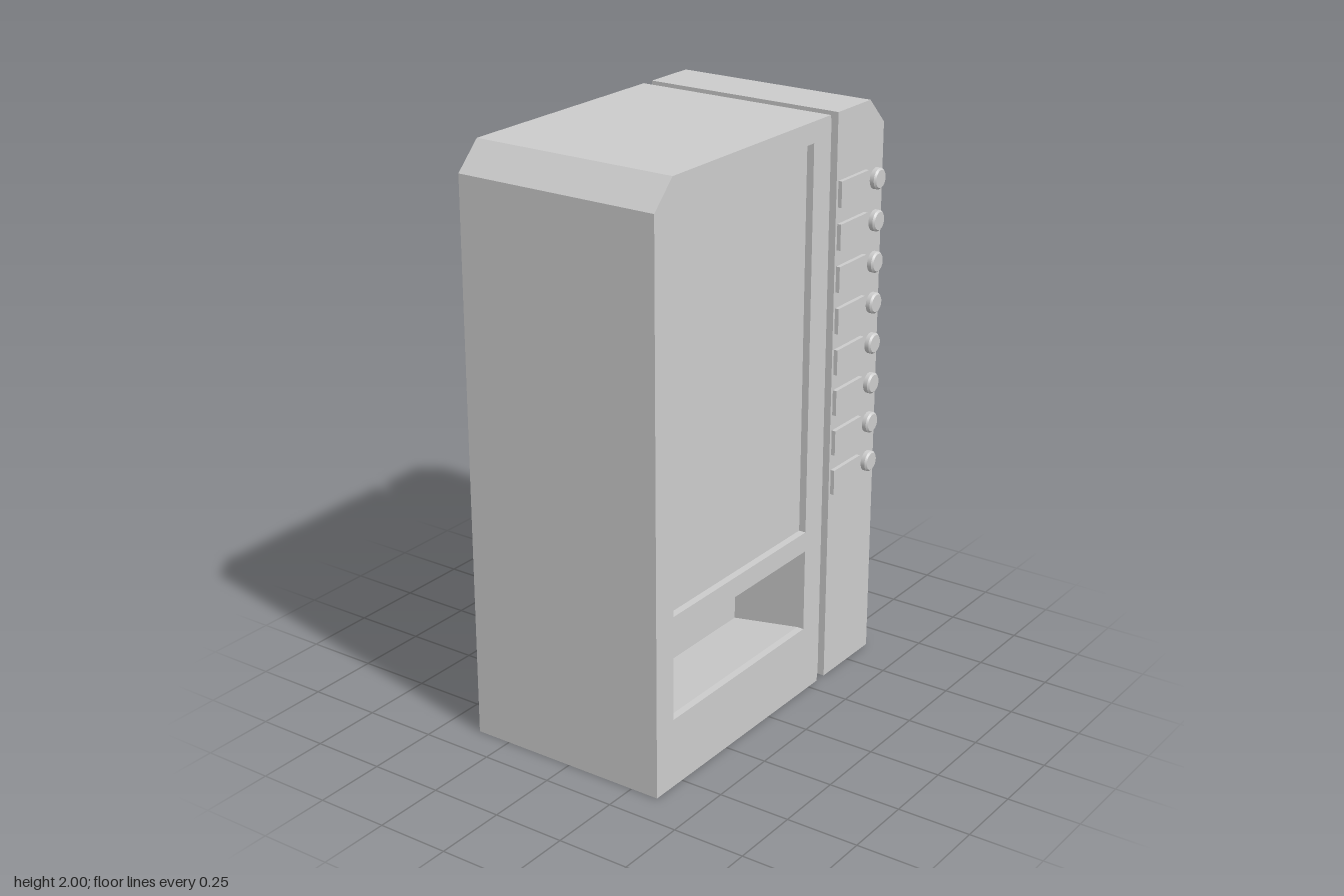
import * as THREE from 'three';

const material = new THREE.MeshStandardMaterial({ color: 0xcccccc, flatShading: true, side: THREE.DoubleSide });
const smooth = new THREE.MeshStandardMaterial({ color: 0xcccccc });

const X0 = -0.375, X1 = 0.35, INSET = 0.025;

// Flat-shaded mesh from a list of four-cornered faces
function quadMesh(name, quads) {
  const pos = [];
  for (const [a, b, c, d] of quads) pos.push(...a, ...b, ...c, ...a, ...c, ...d);
  const geometry = new THREE.BufferGeometry();
  geometry.setAttribute('position', new THREE.Float32BufferAttribute(pos, 3));
  geometry.computeVertexNormals();
  const mesh = new THREE.Mesh(geometry, material);
  mesh.name = name;
  return mesh;
}

// Housing: open-bottomed sections joined from front to back, with a groove
function housing() {
  const stations = [
    [0.635, 1.91, 0], [0.545, 2, 0], [-0.305, 2, 0], [-0.305, 2 - INSET, INSET],
    [-0.35, 2 - INSET, INSET], [-0.35, 2, 0], [-0.545, 2, 0], [-0.635, 1.91, 0],
  ];
  const loops = stations.map(([z, top, inset]) => [
    [X1 - inset, 0, z], [X1 - inset, top, z], [X0 + inset, top, z], [X0 + inset, 0, z],
  ]);
  const quads = [loops[0], [...loops[loops.length - 1]].reverse()];
  for (let k = 0; k < loops.length - 1; k++) {
    for (let i = 0; i < 3; i++) {
      if (i === 0 && k < 2) continue; // the pierced side wall goes here
      quads.push([loops[k][i], loops[k + 1][i], loops[k + 1][i + 1], loops[k][i + 1]]);
    }
  }
  return quadMesh('housing', quads);
}

// Side wall with openings for the display and the dispenser
const openings = {
  display: { z0: 0.545, z1: -0.21, y0: 0.6, y1: 1.93 },
  dispenser: { z0: 0.545, z1: -0.21, y0: 0.24, y1: 0.53 },
};

function sideWall() {
  const points = (list) => list.map(([z, y]) => new THREE.Vector2(-z, y));
  const shape = new THREE.Shape(points([[0.635, 0], [-0.305, 0], [-0.305, 2], [0.545, 2], [0.635, 1.91]]));
  for (const { z0, z1, y0, y1 } of Object.values(openings)) {
    shape.holes.push(new THREE.Path(points([[z0, y0], [z0, y1], [z1, y1], [z1, y0]])));
  }
  const mesh = new THREE.Mesh(new THREE.ShapeGeometry(shape), material);
  mesh.rotation.y = Math.PI / 2;
  mesh.position.x = X1;
  mesh.name = 'sideWall';
  return mesh;
}

// Recess behind an opening: steps are [depth, extra height above and below]
function recess(name, { z0, z1, y0, y1 }, steps) {
  const loops = [[0, 0], ...steps].map(([depth, grow]) => {
    const x = X1 - depth;
    return [[x, y0 - grow, z0], [x, y0 - grow, z1], [x, y1 + grow, z1], [x, y1 + grow, z0]];
  });
  const quads = [loops[loops.length - 1]];
  for (let k = 0; k < loops.length - 1; k++) {
    for (let i = 0; i < 4; i++) {
      const j = (i + 1) % 4;
      quads.push([loops[k][i], loops[k][j], loops[k + 1][j], loops[k + 1][i]]);
    }
  }
  return quadMesh(name, quads);
}

// Rows of labels and round buttons beside the display
function controls() {
  const group = new THREE.Group();
  group.name = 'controls';
  const labelGeometry = new THREE.BoxGeometry(0.014, 0.088, 0.165);
  const knobGeometry = new THREE.CylinderGeometry(0.036, 0.036, 0.015, 32, 1, true);
  const capGeometry = new THREE.CylinderGeometry(0.03, 0.036, 0.006, 32);
  for (let row = 0; row < 8; row++) {
    const y = 1.73 - row * 0.143;
    const label = new THREE.Mesh(labelGeometry, material);
    label.name = 'label';
    label.position.set(X1 + 0.007, y, -0.443);

    const button = new THREE.Group();
    button.name = 'button';
    button.position.set(X1, y, -0.592);
    button.rotation.z = -Math.PI / 2;
    const stem = new THREE.Mesh(knobGeometry, smooth);
    stem.name = 'buttonStem';
    stem.position.y = 0.0075;
    const cap = new THREE.Mesh(capGeometry, smooth);
    cap.name = 'buttonCap';
    cap.position.y = 0.018;
    button.add(stem, cap);
    group.add(label, button);
  }
  return group;
}

export function createModel() {
  const model = new THREE.Group();
  model.name = 'vendingMachine';
  model.add(
    housing(),
    sideWall(),
    recess('displayPanel', openings.display, [[INSET, 0]]),
    recess('dispenserTray', openings.dispenser, [[INSET, 0], [0.28, 0.04]]),
    controls(),
  );
  return model;
}
